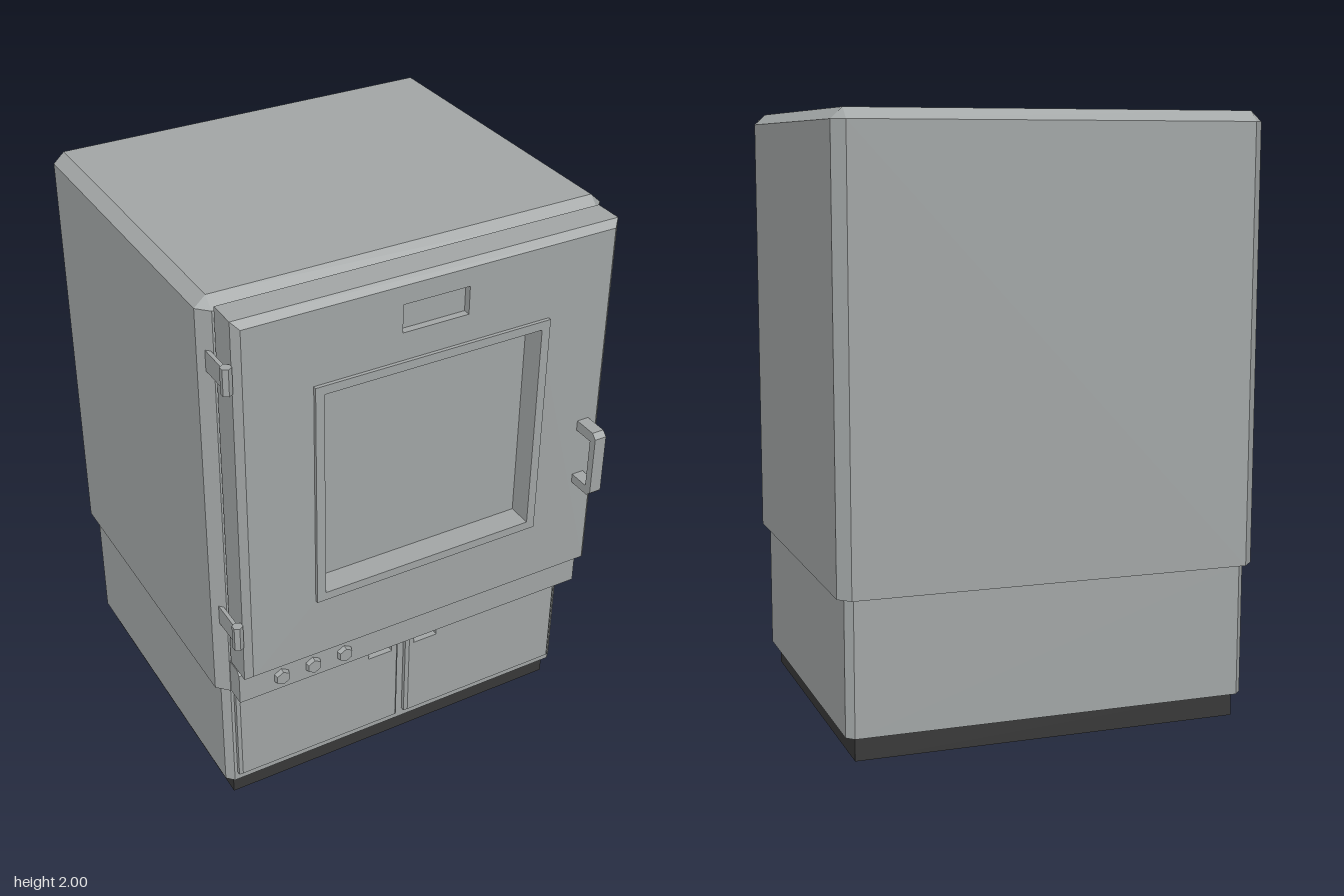
import * as THREE from 'three';
import { ConvexGeometry } from 'three/addons/geometries/ConvexGeometry.js';

export function createModel() {
  const group = new THREE.Group();
  const grey = new THREE.MeshStandardMaterial({ color: 0xa1a5a5 });
  grey.name = 'grey enamel';
  const dark = new THREE.MeshStandardMaterial({ color: 0x383838 });
  dark.name = 'dark plinth';

  const add = (name, geometry, material = grey) => {
    const mesh = new THREE.Mesh(geometry, material);
    mesh.name = name;
    group.add(mesh);
    return mesh;
  };

  // Box given by its limits
  const box = (name, x0, x1, y0, y1, z0, z1, material) =>
    add(name, new THREE.BoxGeometry(x1 - x0, y1 - y0, z1 - z0), material)
      .position.set((x0 + x1) / 2, (y0 + y1) / 2, (z0 + z1) / 2);

  // Box with cut vertical edges and, optionally, cut top edges
  const cabinet = (name, x, y0, y1, z0, z1, cut, topCut) => {
    const points = [];
    const ring = (y, a, b) => {
      for (const s of [-1, 1]) for (const [z, d] of [[z0, 1], [z1, -1]])
        points.push(new THREE.Vector3(s * (x - a), y, z + d * b));
    };
    for (const y of [y0, y1 - topCut]) {
      ring(y, cut, 0);
      ring(y, 0, cut);
    }
    if (topCut) ring(y1, cut, cut);
    add(name, new ConvexGeometry(points));
  };

  const corners = ([x0, x1, y0, y1]) =>
    [[x0, y0], [x1, y0], [x1, y1], [x0, y1]].map(p => new THREE.Vector2(...p));

  // Plate with holes whose outer front edges are cut
  const plate = (name, rect, z0, z1, cut, holes) => {
    const [x0, x1, y0, y1] = rect;
    const shape = new THREE.Shape(corners(rect));
    for (const h of holes) shape.holes.push(new THREE.Path(corners(h)));
    const depth = z1 - z0;
    const g = new THREE.ExtrudeGeometry(shape, { depth, steps: 2, bevelEnabled: false });
    const p = g.attributes.position;
    const inset = (v, a, b) => Math.abs(v - a) < 1e-5 ? a + cut : Math.abs(v - b) < 1e-5 ? b - cut : v;
    for (let i = 0; i < p.count; i++) {
      const z = p.getZ(i);
      if (Math.abs(z - depth / 2) < 1e-5) p.setZ(i, depth - cut);
      else if (z > depth / 2) p.setXY(i, inset(p.getX(i), x0, x1), inset(p.getY(i), y0, y1));
    }
    g.computeVertexNormals();
    g.translate(0, 0, z0);
    add(name, g);
  };

  // Side profile of [z, y] points, extruded across x
  const profile = (name, points, x0, x1) => {
    const shape = new THREE.Shape(points.map(([z, y]) => new THREE.Vector2(-z, y)));
    const g = new THREE.ExtrudeGeometry(shape, { depth: x1 - x0, bevelEnabled: false });
    g.rotateY(Math.PI / 2).translate(x0, 0, 0);
    add(name, g);
  };

  // Housing
  box('plinth', -0.65, 0.65, 0, 0.08, -0.655, 0.42, dark);
  cabinet('lowerCabinet', 0.68, 0.08, 0.525, -0.68, 0.447, 0.024, 0);
  cabinet('upperBody', 0.705, 0.525, 2, -0.705, 0.472, 0.038, 0.035);

  // Main door with a sunken window and label recess
  const opening = [-0.385, 0.382, 0.935, 1.68];
  const label = [-0.116, 0.114, 1.805, 1.9];
  plate('door', [-0.665, 0.663, 0.66, 1.985], 0.482, 0.604, 0.022, [opening, label]);
  box('windowPane', ...opening, 0.483, 0.53);
  box('labelPlate', ...label, 0.483, 0.579);
  plate('windowFrame', [-0.415, 0.412, 0.905, 1.71], 0.603, 0.616, 0, [opening]);

  // Door handle
  profile('doorHandle', [
    [0.603, 1.03], [0.688, 1.03], [0.705, 1.047], [0.705, 1.26], [0.688, 1.277], [0.603, 1.277],
    [0.603, 1.24], [0.678, 1.24], [0.678, 1.062], [0.603, 1.062],
  ], 0.565, 0.608);

  // Hinges
  for (const y of [0.847, 1.798]) {
    box('hingeLeaf', -0.686, -0.673, y - 0.035, y + 0.035, 0.44, 0.58);
    add('hingeKnuckle', new THREE.CylinderGeometry(0.018, 0.018, 0.09, 6).toNonIndexed())
      .position.set(-0.681, y, 0.58);
  }
  for (const m of group.children) if (m.name === 'hingeKnuckle') m.geometry.computeVertexNormals();

  // Control panel and knobs
  profile('controlPanel', [[0.46, 0.525], [0.54, 0.525], [0.54, 0.64], [0.526, 0.655], [0.46, 0.655]],
    -0.665, 0.663);
  for (const x of [-0.512, -0.395, -0.276]) {
    const g = new THREE.CylinderGeometry(0.026, 0.031, 0.02, 6).toNonIndexed();
    g.computeVertexNormals();
    g.rotateX(Math.PI / 2);
    add('knob', g).position.set(x, 0.578, 0.546);
  }

  // Lower cupboard doors with recessed grips
  for (const [x0, x1, g0, g1] of [[-0.645, -0.018, -0.14, -0.048], [0.014, 0.641, 0.042, 0.134]]) {
    const grip = [g0, g1, 0.435, 0.466];
    plate('cupboardDoor', [x0, x1, 0.115, 0.497], 0.445, 0.472, 0.01, [grip]);
    box('gripBack', ...grip, 0.44, 0.45);
  }

  return group;
}
